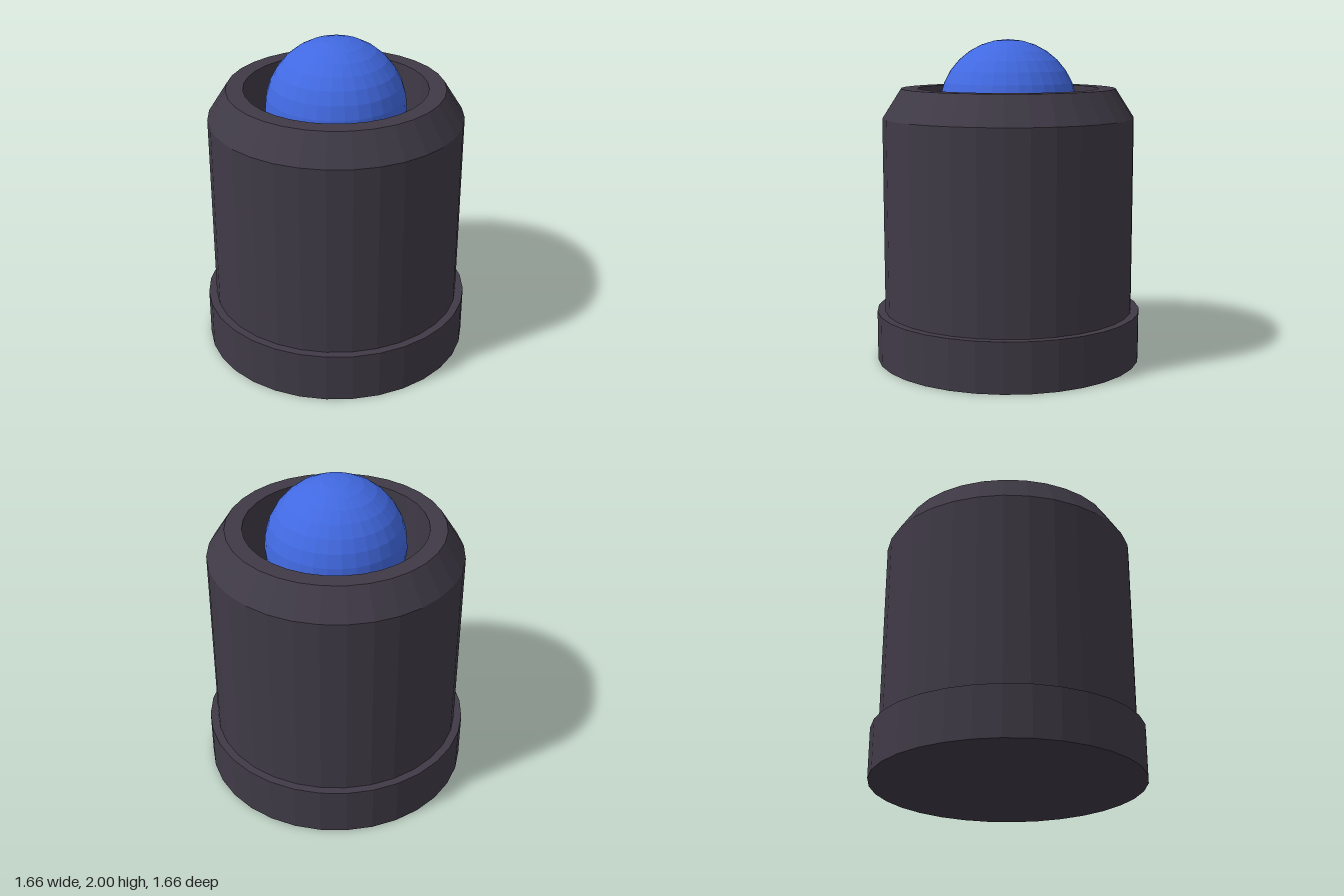
import * as THREE from 'three';

const SIDES = 32;

// Turned part from a [radius, height] profile, listed bottom to top
function turned(name, profile, material) {
  const points = profile.map(([r, y]) => new THREE.Vector2(r, y));
  const mesh = new THREE.Mesh(new THREE.LatheGeometry(points, SIDES), material);
  mesh.name = name;
  return mesh;
}

export function createModel() {
  const group = new THREE.Group();
  group.name = 'ballInHousing';
  const dark = new THREE.MeshStandardMaterial({ color: 0x3f3a46, flatShading: true });
  const blue = new THREE.MeshStandardMaterial({ color: 0x4169e1, flatShading: true });

  // Wide foot ring, closed underneath
  group.add(turned('base', [[0, 0], [0.83, 0], [0.83, 0.31], [0, 0.31]], dark));

  // Housing with bevelled shoulder, flat rim and round socket
  group.add(turned('housing', [
    [0.78, 0.31], [0.78, 1.52], [0.665, 1.7], [0.56, 1.7], [0.56, 1.14], [0, 1.14],
  ], dark));

  // Ball resting in the socket
  const ball = new THREE.Mesh(new THREE.SphereGeometry(0.43, SIDES, 16), blue);
  ball.name = 'ball';
  ball.position.y = 1.57;
  group.add(ball);

  return group;
}
